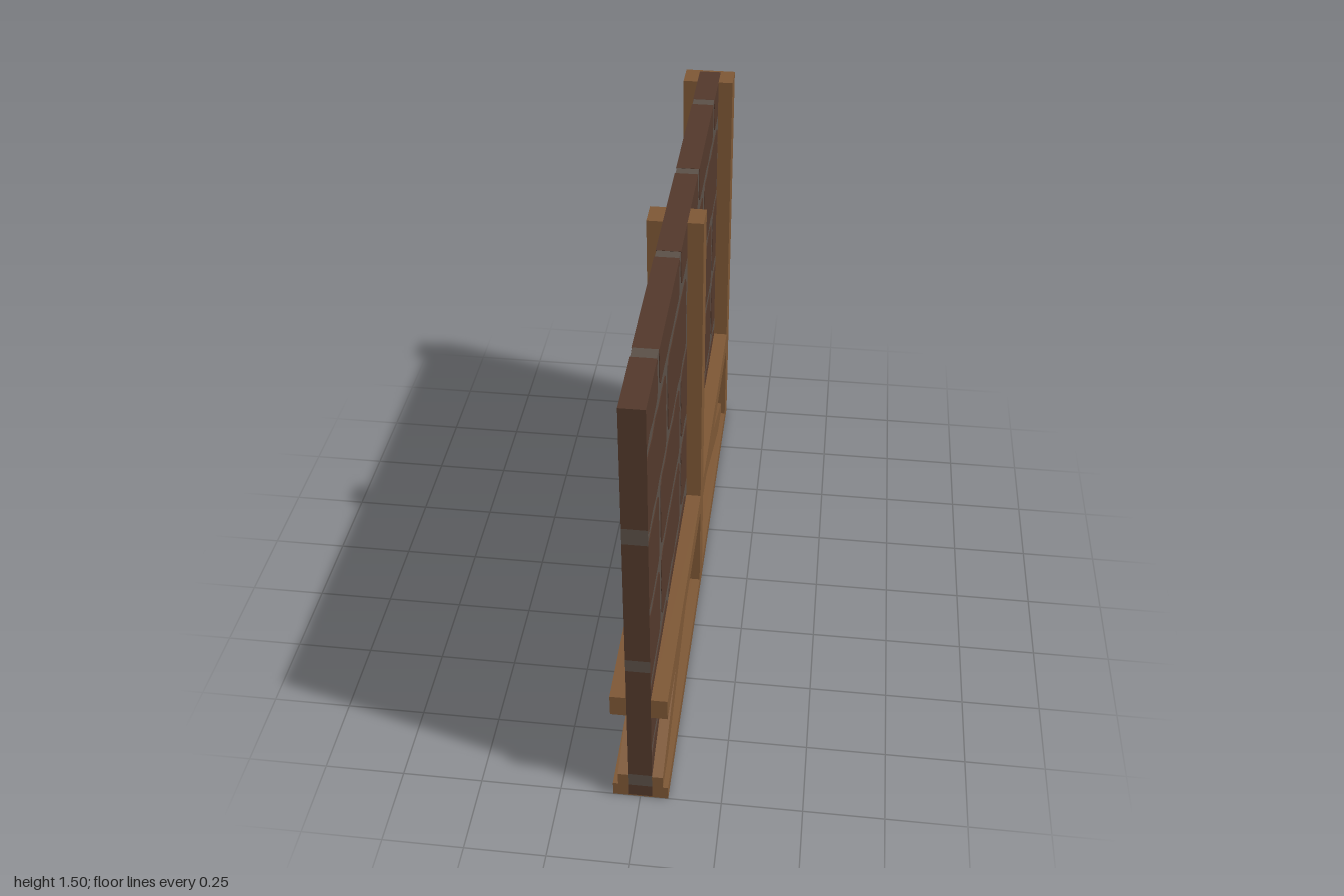
import * as THREE from 'three';

const wood = new THREE.MeshStandardMaterial({ color: 0x7d5735 });
const brick = new THREE.MeshStandardMaterial({ color: 0x52382b });
const mortar = new THREE.MeshStandardMaterial({ color: 0x5a4f47 });
wood.name = 'wood';
brick.name = 'brick';
mortar.name = 'mortar';

const WALL = 0.037, BEAM = 0.086, BRACE = 0.07, TOP = 1.5, FRONT = 0.996, BACK = -0.99;

function box(parent, name, mat, x0, x1, y0, y1, z0, z1) {
  const mesh = new THREE.Mesh(new THREE.BoxGeometry(x1 - x0, y1 - y0, z1 - z0), mat);
  mesh.position.set((x0 + x1) / 2, (y0 + y1) / 2, (z0 + z1) / 2);
  mesh.name = name;
  parent.add(mesh);
}

// Extrudes a (z, y) outline along x from x0 to x1
function prism(parent, name, mat, points, x0, x1) {
  const shape = new THREE.Shape(points.map(([z, y]) => new THREE.Vector2(-z, y)));
  const geo = new THREE.ExtrudeGeometry(shape, { depth: x1 - x0, bevelEnabled: false });
  geo.rotateY(Math.PI / 2);
  geo.translate(x0, 0, 0);
  const mesh = new THREE.Mesh(geo, mat);
  mesh.name = name;
  parent.add(mesh);
}

// Worn brick outline: rounded corners and wavy sides, cut off at the wall edges
function brickOutline(z0, z1, y0, y1, seed) {
  const r = 0.03, pts = [];
  const clampZ = z => Math.min(FRONT, Math.max(BACK, z));
  const clampY = y => Math.min(TOP, Math.max(0.004, y));
  const wave = t => 0.005 * Math.sin(t * 23 + seed * 2.1) + 0.003 * Math.sin(t * 51 + seed);
  const corners = [[z1 - r, y1 - r, 0], [z0 + r, y1 - r, 1], [z0 + r, y0 + r, 2], [z1 - r, y0 + r, 3]];
  corners.forEach(([cz, cy, q], i) => {
    for (let k = 0; k <= 3; k++) {
      const a = (q + k / 3) * Math.PI / 2;
      pts.push([cz + r * Math.cos(a), cy + r * Math.sin(a)]);
    }
    const [nz, ny] = corners[(i + 1) % 4];
    const [ez, ey] = pts[pts.length - 1];
    for (let k = 1; k < 6; k++) {
      const t = k / 6;
      const horizontal = q % 2 === 0;
      pts.push(horizontal
        ? [ez + (nz - cz) * t, ey + wave(ez + t)]
        : [ez + wave(ey + t), ey + (ny - cy) * t]);
    }
  });
  return pts.map(([z, y]) => [clampZ(z), clampY(y)]);
}

export function createModel() {
  const model = new THREE.Group();
  model.name = 'timberFramedWall';

  // Mortar core, slightly inside the bricks
  const wall = new THREE.Group();
  wall.name = 'brickWall';
  model.add(wall);
  box(wall, 'mortarCore', mortar, -WALL + 0.002, WALL - 0.002, 0.004, TOP - 0.002, BACK, FRONT - 0.001);

  // Brick courses: bottom, top, z of the first joint
  const courses = [
    [1.375, 1.6, 0.755], [1.08, 1.335, 0.58], [0.80, 1.045, 0.755],
    [0.515, 0.76, 0.755], [0.23, 0.475, 0.58], [-0.06, 0.19, 0.755],
  ];
  courses.forEach(([y0, y1, joint], row) => {
    for (let i = 0; i < 5; i++) {
      const z0 = joint - 0.5 * i + 0.022, z1 = z0 + 0.456;
      if (z1 - 0.03 < BACK) continue;
      prism(wall, 'brick', brick, brickOutline(z0, z1, y0, y1, row * 5 + i), -WALL, WALL);
    }
  });

  // Front end of the wall: long bricks with three joints
  let y = 0.004;
  for (const [a, b] of [[0.05, 0.1], [0.555, 0.6], [1.045, 1.1], [TOP, TOP]]) {
    box(wall, 'endBrick', brick, -WALL, WALL, y, a, FRONT, 1);
    if (b > a) box(wall, 'endJoint', mortar, -WALL, WALL, a, b, FRONT, 1);
    y = b;
  }

  // Timber frame, the same on both faces
  const braces = [
    [[1, 0.05], [1, 0.095], [0.25, 0.365], [0.075, 0.365], [0.075, 0.325], [0.87, 0.05]],
    [[-0.012, 0.325], [-0.012, 0.365], [-0.18, 0.365], [-0.905, 0.1], [-0.905, 0.05], [-0.785, 0.05]],
  ];
  for (const side of [-1, 1]) {
    const frame = new THREE.Group();
    frame.name = side > 0 ? 'leftFrame' : 'rightFrame';
    model.add(frame);
    const span = depth => (side > 0 ? [WALL - 0.003, depth] : [-depth, -WALL + 0.003]);
    const [x0, x1] = side > 0 ? [WALL, BEAM] : [-BEAM, -WALL];
    box(frame, 'solePlate', wood, x0, x1, 0.004, 0.05, BACK, 1);
    box(frame, 'backPost', wood, x0, x1, 0.05, TOP, BACK, -0.905);
    box(frame, 'middlePost', wood, x0, x1, 0.05, TOP, -0.012, 0.075);
    box(frame, 'frontRail', wood, x0, x1, 0.365, 0.44, 0.075, 1);
    box(frame, 'backRail', wood, x0, x1, 0.365, 0.44, -0.905, -0.012);
    for (const outline of braces) prism(frame, 'brace', wood, outline, ...span(BRACE));
  }

  // Boards closing the back end and the underside
  box(model, 'backBoard', wood, -BEAM, BEAM, 0.004, TOP, -1, BACK);
  box(model, 'bottomBoard', wood, -BEAM, BEAM, 0, 0.004, -1, 1);
  return model;
}
